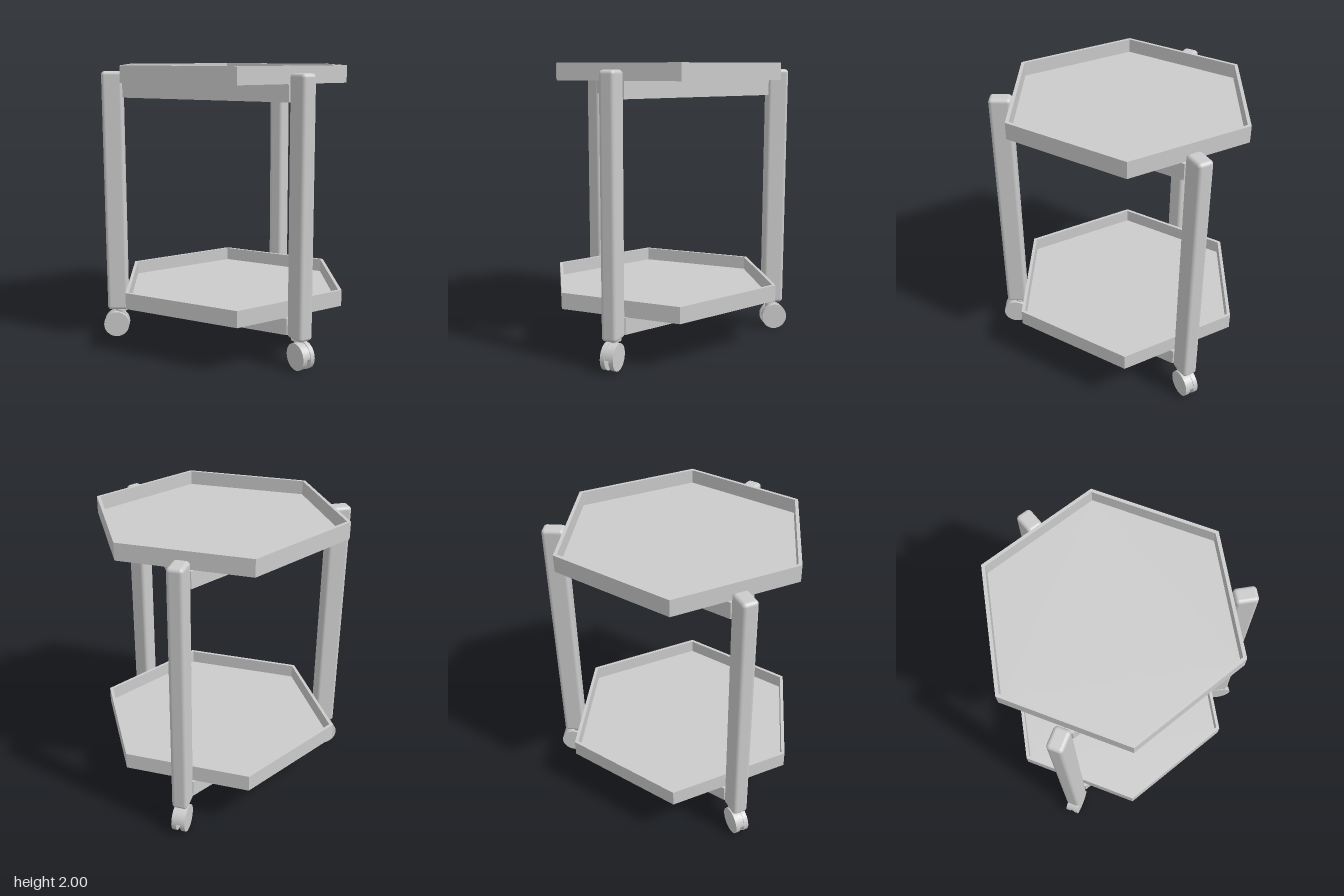
import * as THREE from 'three';
import { RoundedBoxGeometry } from 'three/addons/geometries/RoundedBoxGeometry.js';

const mat = new THREE.MeshStandardMaterial({ color: 0xcccccc });

function add(parent, name, geometry, x = 0, y = 0, z = 0) {
  const m = new THREE.Mesh(geometry, mat);
  m.name = name;
  m.position.set(x, y, z);
  parent.add(m);
  return m;
}

// Points on a regular polygon; the first corner is at the given angle from +x
function polygon(sides, radius, start) {
  return Array.from({ length: sides }, (_, i) => {
    const a = start + (i * 2 * Math.PI) / sides;
    return new THREE.Vector2(radius * Math.cos(a), radius * Math.sin(a));
  });
}

// Flat slab lying in xz, hanging down from y = 0
function slab(points, depth, hole) {
  const shape = new THREE.Shape(points);
  if (hole) shape.holes.push(new THREE.Path(hole));
  return new THREE.ExtrudeGeometry(shape, { depth, bevelEnabled: false }).rotateX(Math.PI / 2);
}

// Hexagonal tray with a thin raised rim
function makeTray(name) {
  const g = new THREE.Group();
  g.name = name;
  const outer = polygon(6, 0.868, 0), inner = polygon(6, 0.842, 0);
  add(g, 'trayRim', slab(outer, 0.115, inner));
  add(g, 'trayFloor', slab(inner, 0.018), 0, -0.097, 0);
  return g;
}

// Triangular support under a tray, its corners cut off where they meet the legs
function makeFrame() {
  const points = [];
  for (let i = 0; i < 3; i++) {
    const a = Math.PI / 2 + (i * 2 * Math.PI) / 3;
    for (const s of [-1, 1]) {
      const t = s * 0.055;
      points.push(new THREE.Vector2(
        0.772 * Math.cos(a) - t * Math.sin(a),
        0.772 * Math.sin(a) + t * Math.cos(a)));
    }
  }
  return slab(points, 0.115, polygon(3, 0.765, Math.PI / 2));
}

// Twin-wheel caster, rolling along z
function makeCaster() {
  const g = new THREE.Group();
  g.name = 'caster';
  const r = 0.093;
  for (const s of [-1, 1]) {
    const wheel = new THREE.CylinderGeometry(r, r, 0.032, 32).rotateZ(Math.PI / 2);
    add(g, 'wheel', wheel, s * 0.031, r, 0);
  }
  add(g, 'axle', new THREE.CylinderGeometry(0.02, 0.02, 0.06, 16).rotateZ(Math.PI / 2), 0, r, 0);
  // Half-round hood between the wheels
  const half = new THREE.Shape();
  half.absarc(0, 0, 0.088, 0, Math.PI);
  const hood = new THREE.ExtrudeGeometry(half, { depth: 0.03, bevelEnabled: false, curveSegments: 20 });
  add(g, 'hood', hood.translate(0, 0, -0.015).rotateY(Math.PI / 2), 0, r, 0);
  add(g, 'stem', new THREE.CylinderGeometry(0.024, 0.024, 0.06, 20), 0, 0.18, -0.037);
  add(g, 'stemCollar', new THREE.CylinderGeometry(0.045, 0.045, 0.012, 24), 0, 0.2, -0.037);
  return g;
}

export function createModel() {
  const model = new THREE.Group();
  model.name = 'trolley';
  const body = new THREE.Group();
  body.name = 'body';
  body.position.z = -0.1;
  model.add(body);

  // Two trays, each on its triangular frame
  for (const [name, top] of [['lowerTray', 0.45], ['upperTray', 2.0]]) {
    const tray = makeTray(name);
    tray.position.y = top;
    body.add(tray);
    add(body, name + 'Frame', makeFrame(), 0, top - 0.115, 0);
  }

  // Three legs with casters on alternate sides
  for (let i = 0; i < 3; i++) {
    const side = new THREE.Group();
    side.name = ['frontLeg', 'leftRearLeg', 'rightRearLeg'][i];
    side.rotation.y = (i * 2 * Math.PI) / 3;
    add(side, 'post', new RoundedBoxGeometry(0.11, 1.75, 0.152, 4, 0.026), 0, 1.08, 0.845);
    const caster = makeCaster();
    caster.position.z = 0.86;
    side.add(caster);
    body.add(side);
  }
  return model;
}
